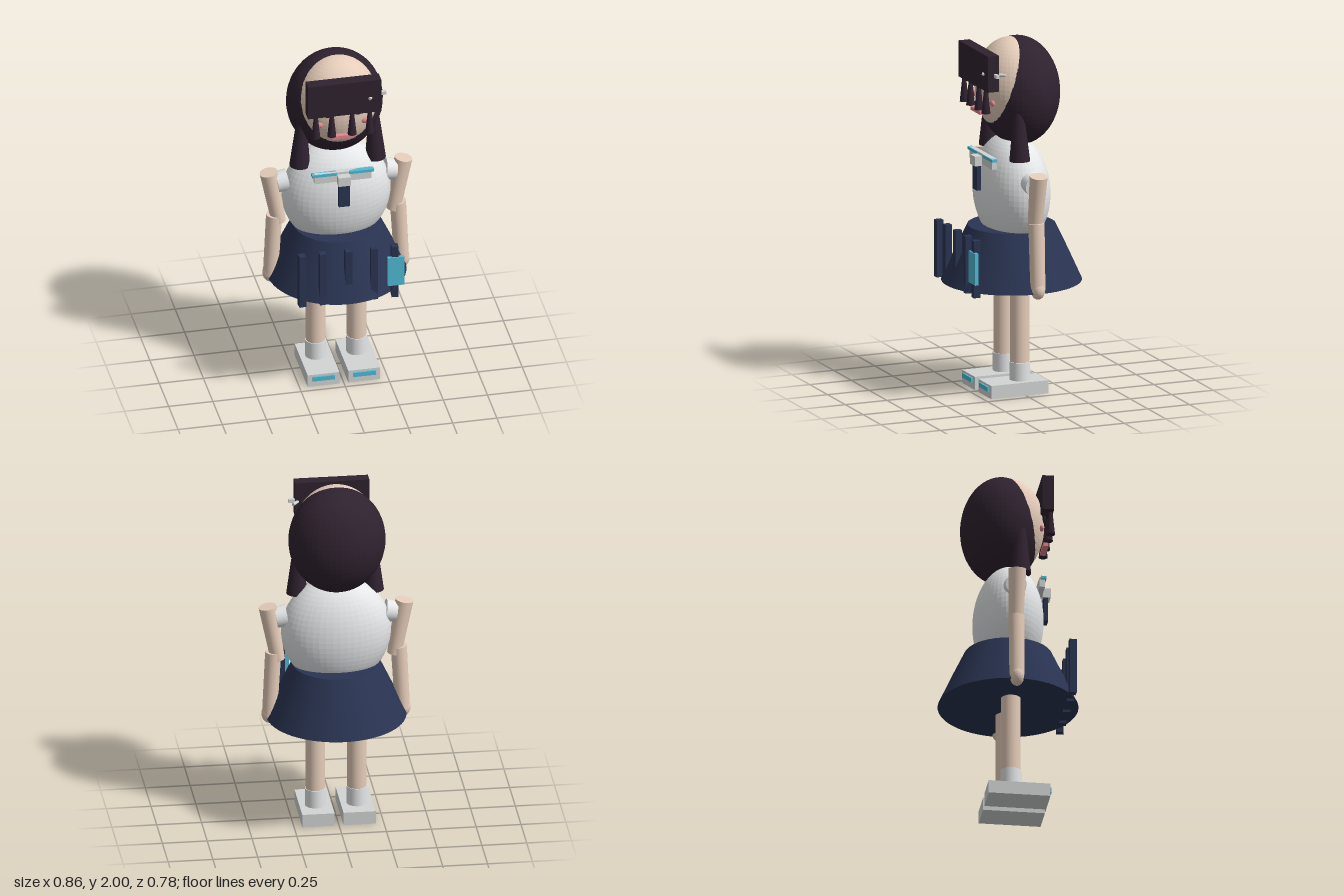
import * as THREE from 'three';

const mat = (name, color, side = THREE.FrontSide) => {
  const m = new THREE.MeshStandardMaterial({ color, side });
  m.name = name;
  return m;
};

export function createModel() {
  const group = new THREE.Group();
  const skin = mat('skin', 0xe6cdba);
  const hair = mat('dark hair', 0x2f222f);
  const white = mat('white cloth', 0xe9ebec);
  const grey = mat('pale grey', 0xd3d5d5);
  const navy = mat('navy', 0x2a3452);
  const cyan = mat('cyan', 0x4fbbd4);
  const pink = mat('pink', 0xe0858a);

  const add = (name, geometry, material, x = 0, y = 0, z = 0) => {
    const mesh = new THREE.Mesh(geometry, material);
    mesh.name = name;
    mesh.position.set(x, y, z);
    group.add(mesh);
    return mesh;
  };
  const box = (name, m, w, h, d, x, y, z) => add(name, new THREE.BoxGeometry(w, h, d), m, x, y, z);

  // Finely faceted ellipsoid
  const ellipsoid = (name, m, rx, ry, rz, x, y, z, seg = 48) => {
    const g = new THREE.SphereGeometry(1, seg, Math.round(seg * 0.67)).scale(rx, ry, rz).toNonIndexed();
    g.computeVertexNormals();
    return add(name, g, m, x, y, z);
  };

  // Tapered round limb between two points
  const limb = (name, m, from, to, rFrom, rTo, seg = 28) => {
    const a = new THREE.Vector3(...from), b = new THREE.Vector3(...to);
    const dir = b.clone().sub(a);
    const mesh = add(name, new THREE.CylinderGeometry(rTo, rFrom, dir.length(), seg), m);
    mesh.position.copy(a).addScaledVector(dir, 0.5);
    mesh.quaternion.setFromUnitVectors(new THREE.Vector3(0, 1, 0), dir.normalize());
    return mesh;
  };

  // Head and hair
  ellipsoid('head', skin, 0.24, 0.278, 0.2, 0, 1.72, 0);
  ellipsoid('hairCap', hair, 0.27, 0.305, 0.223, 0, 1.695, -0.042);
  box('fringe', hair, 0.414, 0.205, 0.066, 0, 1.852, 0.197);
  for (const x of [-0.16, -0.07, 0.045, 0.145]) {
    add('fringeStrand', new THREE.ConeGeometry(0.025, 0.24, 20), hair, x, 1.737, 0.216);
  }

  // Face
  box('mouth', pink, 0.13, 0.02, 0.03, 0, 1.6, 0.203);

  // Hair clip: a slanted pin through the fringe and a small bar
  limb('hairPin', grey, [0.222, 1.842, 0.13], [0.14, 1.842, 0.237], 0.009, 0.009, 12);
  box('hairClip', grey, 0.05, 0.02, 0.02, 0.218, 1.842, 0.185);

  // Torso and skirt
  ellipsoid('shirt', white, 0.306, 0.32, 0.195, 0, 1.13, 0);
  const skirtProfile = [[0.001, 0.935], [0.243, 0.935], [0.245, 0.935], [0.318, 0.78], [0.39, 0.62]]
    .map(([r, y]) => new THREE.Vector2(r, y)).reverse();
  add('skirt', new THREE.LatheGeometry(skirtProfile, 64), navy);
  const hem = add('skirtUnderside', new THREE.CircleGeometry(0.39, 64), navy, 0, 0.621, 0);
  hem.rotation.x = Math.PI / 2;
  for (const x of [-0.262, -0.145, 0, 0.145, 0.262]) {
    box('pleat', navy, 0.038, 0.325, 0.04, x, 0.768, 0.325).rotation.y = -x * 0.3;
  }
  box('card', cyan, 0.092, 0.18, 0.02, 0.265, 0.775, 0.342);

  // Collar front, knot and tie
  box('collarBar', grey, 0.32, 0.06, 0.03, 0, 1.325, 0.17);
  box('tie', navy, 0.062, 0.19, 0.025, 0, 1.245, 0.208);
  box('tieKnot', grey, 0.07, 0.055, 0.042, 0, 1.318, 0.213);

  for (const s of [-1, 1]) {
    // Eyes, cheeks and side locks
    ellipsoid('eye', hair, 0.034, 0.035, 0.015, s * 0.085, 1.753, 0.186, 20);
    ellipsoid('cheek', pink, 0.023, 0.017, 0.012, s * 0.13, 1.665, 0.17, 20);
    limb('sideLock', hair, [s * 0.214, 1.345, 0.042], [s * 0.205, 1.64, 0.045], 0.058, 0.026);

    // Collar stripes
    box('collarStripe', cyan, 0.14, 0.016, 0.03, s * 0.105, 1.347, 0.176);

    // Sleeves, arms and hands
    limb('sleeve', white, [s * 0.275, 1.232, 0], [s * 0.336, 1.222, 0], 0.063, 0.058);
    limb('upperArm', skin, [s * 0.325, 0.97, 0], [s * 0.382, 1.29, 0], 0.04, 0.05);
    limb('forearm', skin, [s * 0.37, 0.645, 0], [s * 0.35, 1.015, 0], 0.042, 0.045);
    ellipsoid('hand', skin, 0.046, 0.057, 0.04, s * 0.37, 0.643, 0, 28);

    // Legs, socks and shoes
    limb('leg', skin, [s * 0.116, 0.08, 0], [s * 0.116, 0.7, 0], 0.054, 0.055);
    limb('sock', white, [s * 0.116, 0.07, 0], [s * 0.116, 0.178, 0], 0.058, 0.058);
    box('shoe', grey, 0.18, 0.075, 0.345, s * 0.115, 0.0375, 0.037);
    box('shoeTrim', cyan, 0.125, 0.026, 0.02, s * 0.116, 0.05, 0.21);
  }
  return group;
}
